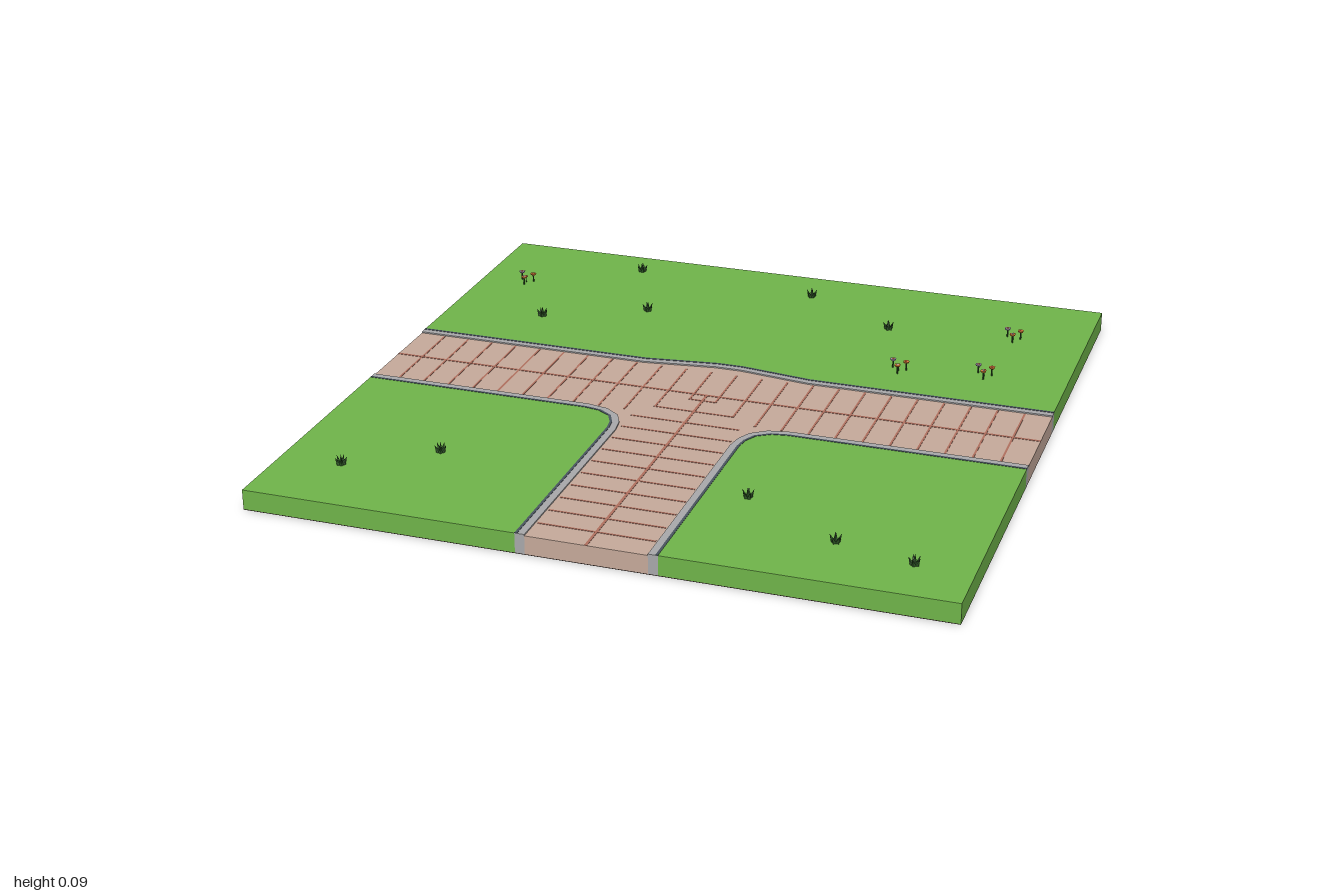
import * as THREE from 'three';
import { mergeGeometries } from 'three/addons/utils/BufferGeometryUtils.js';

const mat = (name, color, side = THREE.FrontSide) => {
  const m = new THREE.MeshStandardMaterial({ color, side });
  m.name = name;
  return m;
};

// Horizontal slab between heights y0 and y1 from [x, z] points
function slab(pts, y0, y1) {
  const shape = new THREE.Shape(pts.map(([x, z]) => new THREE.Vector2(x, -z)));
  const g = new THREE.ExtrudeGeometry(shape, { depth: y1 - y0, bevelEnabled: false });
  return g.rotateX(-Math.PI / 2).translate(0, y0, 0);
}

const mirror = (pts) => pts.map(([x, z]) => [-x, z]);
const strip = (a, b) => [...a, ...[...b].reverse()];
const shift = (pts, dx, dz) => pts.map(([x, z]) => [x + dx, z + dz]);

export function createModel() {
  const group = new THREE.Group();
  const grass = mat('grass green', 0x70b54a);
  const paving = mat('paving tan', 0xc6aa9b);
  const joint = mat('joint red', 0xb0705f);
  const stone = mat('kerb grey', 0xa9a9ab);
  const slate = mat('slate edge', 0x4a5560);
  const soil = mat('soil brown', 0x3a2a24);
  const leaf = mat('leaf dark green', 0x2c5524, THREE.DoubleSide);
  const orange = mat('petal orange', 0xe88a3c);
  const lilac = mat('petal lilac', 0xb9a3c4);
  const red = mat('petal red', 0xc2543f);
  const add = (name, geometry, material, parent = group) => {
    const m = new THREE.Mesh(geometry, material);
    m.name = name;
    parent.add(m);
    return m;
  };

  const BASE = 0.002, TOP = 0.06, ROAD = 0.056;

  // Outer and inner kerb lines: rounded corner on +x, and bulging back edge
  const cornerOut = [[0.2, 1], [0.2, 0.31], [0.206, 0.27], [0.225, 0.232], [0.265, 0.207], [0.31, 0.2], [1, 0.2]];
  const cornerIn = [[0.172, 1], [0.172, 0.31], [0.18, 0.26], [0.2, 0.218], [0.245, 0.185], [0.31, 0.172], [1, 0.172]];
  const backOut = [[-1, -0.2], [-0.26, -0.2], [-0.1, -0.222], [-0.04, -0.23], [0.04, -0.23], [0.1, -0.222], [0.26, -0.2], [1, -0.2]];
  const backIn = shift(backOut, 0, 0.028);

  // Soil underside
  add('underside', new THREE.BoxGeometry(2, BASE, 2).translate(0, BASE / 2, 0), soil);

  // Lawns
  add('backLawn', slab([[-1, -1], [1, -1], ...[...backOut].reverse()], BASE, TOP), grass);
  add('leftLawn', slab([...cornerOut, [1, 1]], BASE, TOP), grass);
  add('rightLawn', slab([...mirror(cornerOut), [-1, 1]], BASE, TOP), grass);

  // Paved T junction
  add('paving', slab([...backIn, ...[...cornerIn].reverse(), ...mirror(cornerIn)], BASE, ROAD), paving);

  // Kerbs with a dark line along the lawn side
  const blend = (a, b, t) => a.map(([x, z], i) => [x + (b[i][0] - x) * t, z + (b[i][1] - z) * t]);
  const kerbs = [
    ['backKerb', backOut, backIn],
    ['leftKerb', cornerOut, cornerIn],
    ['rightKerb', mirror(cornerOut), mirror(cornerIn)],
  ];
  for (const [name, out, inn] of kerbs) {
    add(name, slab(strip(out, inn), BASE, TOP), stone);
    add(name + 'Edge', slab(strip(out, blend(out, inn, 0.27)), TOP - 0.001, TOP + 0.001), slate);
  }

  // Paving joints
  const joints = [];
  const line = (x0, z0, x1, z1, w = 0.006) => {
    const g = new THREE.BoxGeometry(Math.abs(x1 - x0) + w, 0.002, Math.abs(z1 - z0) + w);
    joints.push(g.translate((x0 + x1) / 2, ROAD, (z0 + z1) / 2));
  };
  line(-0.996, 0, 0.996, 0, 0.008);
  line(0, 0, 0, 0.996, 0.008);
  for (let i = 0; i < 12; i++) {
    const d = 0.04 + i * 0.08;
    const half = 0.163;
    for (const s of [-1, 1]) line(s * d, -half, s * d, Math.min(d, half));
    const w = Math.min(d, half);
    line(-w, d, w, d);
  }
  add('pavingJoints', mergeGeometries(joints), joint);

  // Grass tufts: a ring of leaning blades round an upright one
  const blades = [];
  for (let i = 0; i < 6; i++) {
    const g = new THREE.ConeGeometry(0.007, i ? 0.026 : 0.032, 4).translate(0, i ? 0.013 : 0.016, 0);
    if (i) g.rotateZ(-0.45).translate(0.006, 0, 0).rotateY((i * Math.PI * 2) / 5 + 0.3);
    blades.push(g);
  }
  const tuftGeo = mergeGeometries(blades);
  const tufts = [
    [-0.52, -0.88], [0.08, -0.84], [0.385, -0.655], [-0.385, -0.56], [-0.69, -0.415],
    [-0.585, 0.61], [-0.815, 0.77], [0.32, 0.61], [0.615, 0.785], [0.84, 0.84],
  ];
  tufts.forEach(([x, z], i) => {
    const t = add('grassTuft', tuftGeo, leaf);
    t.position.set(x, TOP, z);
    t.rotation.y = i * 0.2;
  });

  // Flower clusters: thin stems with flat heads
  const stemGeo = new THREE.CylinderGeometry(0.0025, 0.0025, 0.026, 5).translate(0, 0.013, 0);
  const headGeo = new THREE.CylinderGeometry(0.01, 0.008, 0.005, 6).translate(0, 0.0265, 0);
  const eyeGeo = new THREE.CylinderGeometry(0.004, 0.004, 0.002, 6).translate(0, 0.029, 0);
  const flowers = [[-0.022, -0.018, lilac, orange], [0.021, -0.01, orange, red], [0.002, 0.024, orange, lilac], [0, 0.002, red, orange]];
  for (const [x, z] of [[-0.85, -0.67], [0.775, -0.695], [0.495, -0.35], [0.75, -0.39]]) {
    const cluster = new THREE.Group();
    cluster.name = 'flowerCluster';
    cluster.position.set(x, TOP, z);
    flowers.forEach(([fx, fz, petal, eye], i) => {
      const f = new THREE.Group();
      f.name = 'flower';
      f.position.set(fx, 0, fz);
      if (i === 3) f.scale.set(0.6, 0.75, 0.6);
      add('flowerStem', stemGeo, leaf, f);
      add('flowerHead', headGeo, petal, f);
      add('flowerCentre', eyeGeo, eye, f);
      cluster.add(f);
    });
    group.add(cluster);
  }
  return group;
}
